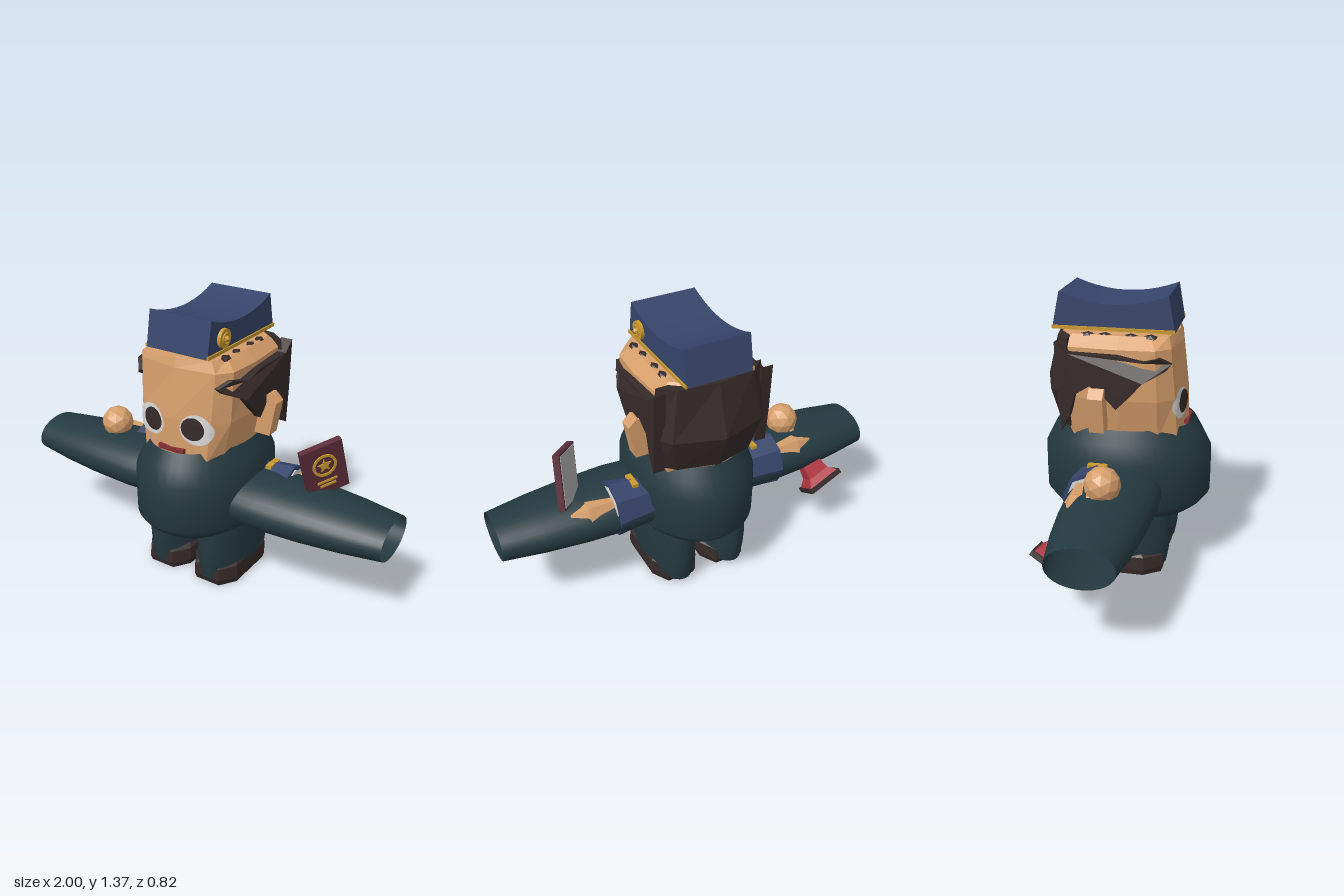
import * as THREE from 'three';

const mat = (name, color, side = THREE.FrontSide) => {
  const m = new THREE.MeshStandardMaterial({ color, side });
  m.name = name;
  return m;
};
const M = {
  coat: mat('dark teal cloth', 0x243940, THREE.DoubleSide),
  navy: mat('navy cloth', 0x37456b),
  skin: mat('skin', 0xd69e6b),
  hair: mat('dark brown', 0x352a29),
  white: mat('eye white', 0xd6d6d6),
  grey: mat('page grey', 0xa8a8a8),
  maroon: mat('maroon cover', 0x5a2c3a),
  red: mat('red paint', 0xb03642),
  gold: mat('gold', 0xc9992f),
  mouth: mat('lip red', 0x842f35),
};

// Faceted copy of a geometry
function flat(g) {
  const f = g.index ? g.toNonIndexed() : g;
  f.computeVertexNormals();
  return f;
}

function add(parent, name, geo, material, x = 0, y = 0, z = 0) {
  const m = new THREE.Mesh(geo, material);
  m.name = name;
  m.position.set(x, y, z);
  parent.add(m);
  return m;
}

// Mirrored outline: half points run from front centre (x = 0) to back centre
function ring(y, half) {
  const other = half.filter(p => p[0] > 0).reverse().map(([x, z]) => [-x, z]);
  return [...half, ...other].map(([x, z]) => [x, y, z]);
}

// Capped, faceted loft through horizontal rings, listed bottom to top
function loft(rings, rise = 0) {
  const n = rings[0].length, pos = rings.flat(2), idx = [];
  for (let r = 0; r < rings.length - 1; r++)
    for (let i = 0; i < n; i++) {
      const a = r * n + i, b = r * n + (i + 1) % n;
      idx.push(a, b, b + n, a, b + n, a + n);
    }
  [rings[0], rings[rings.length - 1]].forEach((rg, k) => {
    const c = [0, 1, 2].map(j => rg.reduce((s, p) => s + p[j], 0) / n);
    const ci = pos.length / 3, o = k ? (rings.length - 1) * n : 0;
    pos.push(c[0], c[1] + (k ? rise : 0), c[2]);
    for (let i = 0; i < n; i++) {
      const a = o + i, b = o + (i + 1) % n;
      if (k) idx.push(a, b, ci); else idx.push(b, a, ci);
    }
  });
  const g = new THREE.BufferGeometry();
  g.setAttribute('position', new THREE.Float32BufferAttribute(pos, 3));
  g.setIndex(idx);
  return flat(g);
}

const poly = pts => new THREE.Shape(pts.map(p => new THREE.Vector2(...p)));
const extrude = (shape, depth) =>
  new THREE.ExtrudeGeometry(shape, { depth, bevelEnabled: false, curveSegments: 10 });
// Extrudes a (z, y) outline from x0 to x1
const sideExtrude = (shape, x0, x1) =>
  extrude(shape, x1 - x0).rotateY(-Math.PI / 2).translate(x1, 0, 0);
const lathe = (pts, seg = 32) =>
  new THREE.LatheGeometry(pts.map(p => new THREE.Vector2(...p)), seg);

// Thin disc that hugs the folded face
function faceDisc(cx, cy, rx, ry, lift) {
  const g = new THREE.RingGeometry(0.001, 1, 28, 5).scale(rx, ry, 1).translate(cx, cy, 0);
  const p = g.attributes.position;
  for (let i = 0; i < p.count; i++) {
    const x = Math.abs(p.getX(i)), y = p.getY(i);
    const z = 0.297 - 0.21 * x - Math.max(0, x - 0.19) * 1.0 - Math.max(0, y - 0.9) * 0.1;
    p.setZ(i, z + lift);
  }
  g.computeVertexNormals();
  return g;
}

function buildHead(root) {
  const head = new THREE.Group();
  head.name = 'head';
  root.add(head);
  add(head, 'face', loft([
    ring(0.70, [[0, .30], [.17, .265], [.21, .18], [.23, 0], [.21, -.22], [.14, -.27], [0, -.27]]),
    ring(0.90, [[0, .295], [.19, .255], [.25, .18], [.27, 0], [.25, -.24], [.15, -.32], [0, -.34]]),
    ring(1.14, [[0, .265], [.20, .235], [.255, .17], [.265, 0], [.25, -.25], [.15, -.30], [0, -.32]]),
    ring(1.19, [[0, .25], [.17, .22], [.20, .14], [.21, 0], [.20, -.22], [.12, -.28], [0, -.29]]),
  ], 0.01), M.skin);
  add(head, 'backHair', loft([
    ring(0.75, [[.24, -.23], [.19, -.28], [0, -.33]]),
    ring(0.93, [[.295, -.23], [.23, -.32], [0, -.395]]),
    ring(1.18, [[.265, -.23], [.19, -.29], [0, -.32]]),
  ]), M.hair);
  add(head, 'mouth', new THREE.BoxGeometry(0.14, 0.022, 0.03), M.mouth, 0, 0.75, 0.29);

  // Side hair with a spike bent round the temple
  const hairSide = sideExtrude(poly([[.24, 1.075], [.19, 1.11], [.12, 1.095], [0, 1.12], [-.22, 1.12],
    [-.28, 1.17], [-.27, .93], [-.255, .75], [-.22, .82], [-.19, .93], [-.12, .975], [-.06, .93],
    [0, .87], [.06, .93], [.12, 1.0], [.18, 1.03], [.22, 1.05]]), 0.24, 0.298);
  const p = hairSide.attributes.position;
  for (let i = 0; i < p.count; i++)
    p.setX(i, p.getX(i) - Math.max(0, p.getZ(i) - 0.15) * 0.85);
  hairSide.computeVertexNormals();
  const ear = extrude(poly([[.24, .76], [.32, .76], [.35, .93], [.31, .97], [.24, .95]]), 0.07);

  for (const s of [1, -1]) {
    const half = new THREE.Group();
    half.name = s > 0 ? 'leftHeadSide' : 'rightHeadSide';
    half.scale.x = s;
    head.add(half);
    add(half, 'sideHair', hairSide, M.hair);
    add(half, 'ear', ear, M.skin, 0, 0, -0.12);
    add(half, 'eyeWhite', faceDisc(.125, .865, .08, .075, .006), M.white);
    add(half, 'pupil', faceDisc(.11, .87, .056, .056, .011), M.hair);
    for (const z of [.14, .05, -.07, -.15])
      add(half, 'curl', flat(new THREE.IcosahedronGeometry(0.03).scale(.8, .6, 1.2)), M.hair, .19, 1.182, z);
  }
}

function buildCap(root) {
  const cap = new THREE.Group();
  cap.name = 'cap';
  root.add(cap);
  const s = new THREE.Shape();
  s.moveTo(-.325, 1.2);
  s.lineTo(.245, 1.2);
  s.lineTo(.215, 1.37);
  s.quadraticCurveTo(-.04, 1.27, -.29, 1.37);
  add(cap, 'crown', sideExtrude(s, -.165, .165), M.navy);
  for (const x of [.167, -.167])
    add(cap, 'trim', new THREE.BoxGeometry(.01, .016, .572), M.gold, x, 1.208, -.04);
  const disc = (r, h) => flat(new THREE.CylinderGeometry(r, r, h, 20).rotateZ(Math.PI / 2));
  add(cap, 'badge', disc(.045, .02), M.gold, .172, 1.27, .125);
  add(cap, 'badgeRim', new THREE.TorusGeometry(.024, .005, 6, 16).rotateY(Math.PI / 2), M.gold, .183, 1.27, .125);
  add(cap, 'badgeStud', flat(new THREE.IcosahedronGeometry(.016)), M.gold, .187, 1.27, .125);
}

function buildBody(root) {
  add(root, 'tunic', lathe([[.33, .295], [.375, .33], [.41, .375], [.412, .5], [.41, .6], [.37, .68], [.33, .75]], 40)
    .scale(.755, 1, 1), M.coat);
  add(root, 'innerJacket', flat(new THREE.CylinderGeometry(.18, .19, .44, 8)), M.navy, 0, .49, 0);

  const shoe = loft([[0, .95, 0], [.03, 1, 0], [.095, .97, 0], [.125, .7, 0]].map(([y, k]) =>
    ring(y, [[.07, .215], [.127, .13], [.127, -.14], [.075, -.23]].map(([x, z]) => [x * k, z * k]))));
  const tube = (x0, x1, r0, r1, n) =>
    flat(new THREE.CylinderGeometry(r1, r0, x1 - x0, n).rotateZ(-Math.PI / 2).translate((x0 + x1) / 2, 0, 0));

  for (const s of [1, -1]) {
    const half = new THREE.Group();
    half.name = s > 0 ? 'leftLimbs' : 'rightLimbs';
    half.scale.x = s;
    root.add(half);
    add(half, 'trouserLeg', lathe([[.245, .03], [.258, .1], [.265, .19], [.262, .3], [.25, .42]])
      .scale(.475, 1, 1), M.coat, .145, 0, -.025);
    add(half, 'shoe', shoe, M.hair, .14, 0, 0);
    // Wide oval outer sleeve, open at the cuff
    add(half, 'outerSleeve', lathe([[.205, .24], [.214, .38], [.203, .6], [.182, .8], [.15, 1]])
      .rotateZ(-Math.PI / 2).scale(1, .62, 1), M.coat, 0, .46, .005);
    add(half, 'innerSleeve', tube(.2, .45, .115, .14, 8), M.navy, 0, .48, -.08);
    add(half, 'shirtCuff', tube(.4, .456, .115, .122, 8), M.white, 0, .48, -.08);
    add(half, 'shoulderBar', new THREE.BoxGeometry(.03, .02, .09), M.gold, .33, .598, -.08);
    add(half, 'forearm', tube(.42, .58, .095, .1, 6), M.skin, 0, .485, -.095);
    add(half, 'palm', tube(.57, .665, .1, .075, 6), M.skin, 0, .485, -.095);
    add(half, 'fist', flat(new THREE.IcosahedronGeometry(.09, 1)), M.skin, .62, .46, -.02);
  }
}

function buildBook(root) {
  const book = new THREE.Group();
  book.name = 'booklet';
  const w = new THREE.Vector3(.13, .06, -.16).normalize();
  const n = w.clone().cross(new THREE.Vector3(-.04, .25, .1)).normalize();
  const u = n.clone().cross(w);
  book.quaternion.setFromRotationMatrix(new THREE.Matrix4().makeBasis(w, u, n));
  book.position.set(.63, .695, -.015);
  root.add(book);
  add(book, 'cover', new THREE.BoxGeometry(.205, .27, .032), M.maroon);
  add(book, 'page', new THREE.BoxGeometry(.185, .25, .006), M.grey, 0, 0, -.016);
  const star = [];
  for (let i = 0; i < 10; i++) {
    const a = Math.PI / 2 + i * Math.PI / 5, r = i % 2 ? .016 : .037;
    star.push([r * Math.cos(a), r * Math.sin(a)]);
  }
  add(book, 'star', extrude(poly(star), .006), M.gold, 0, .03, .015);
  const rim = new THREE.Shape().absarc(0, 0, .06, 0, Math.PI * 2);
  rim.holes.push(new THREE.Path().absarc(0, 0, .047, 0, Math.PI * 2, true));
  add(book, 'starRing', extrude(rim, .006), M.gold, 0, .03, .015);
  for (const [y, len] of [[-.062, .1], [-.085, .08]])
    add(book, 'coverBar', new THREE.BoxGeometry(len, .012, .008), M.gold, 0, y, .016);
}

function buildStamp(root) {
  const stamp = new THREE.Group();
  stamp.name = 'handStamp';
  const base = new THREE.Vector3(-.70, .315, -.215), knob = new THREE.Vector3(-.57, .625, 0);
  const axis = knob.clone().sub(base), len = axis.length();
  stamp.position.copy(base);
  stamp.quaternion.setFromUnitVectors(new THREE.Vector3(0, 1, 0), axis.normalize());
  root.add(stamp);
  const flare = (top, bottom, h) =>
    flat(new THREE.CylinderGeometry(top, bottom, h, 4).rotateY(Math.PI / 4).scale(1, 1, .68));
  add(stamp, 'pad', new THREE.BoxGeometry(.2, .025, .14), M.hair, 0, .0, 0);
  add(stamp, 'foot', flare(.085, .13, .04), M.red, 0, .03, 0);
  add(stamp, 'body', flare(.07, .085, .07), M.red, 0, .085, 0);
  add(stamp, 'stem', flat(new THREE.CylinderGeometry(.03, .03, len - .1, 8)), M.skin, 0, len / 2 + .05, 0);
  add(stamp, 'knob', flat(new THREE.IcosahedronGeometry(.083, 1)), M.skin, 0, len, 0);
}

export function createModel() {
  const root = new THREE.Group();
  root.name = 'officer';
  buildHead(root);
  buildCap(root);
  buildBody(root);
  buildBook(root);
  buildStamp(root);
  return root;
}
